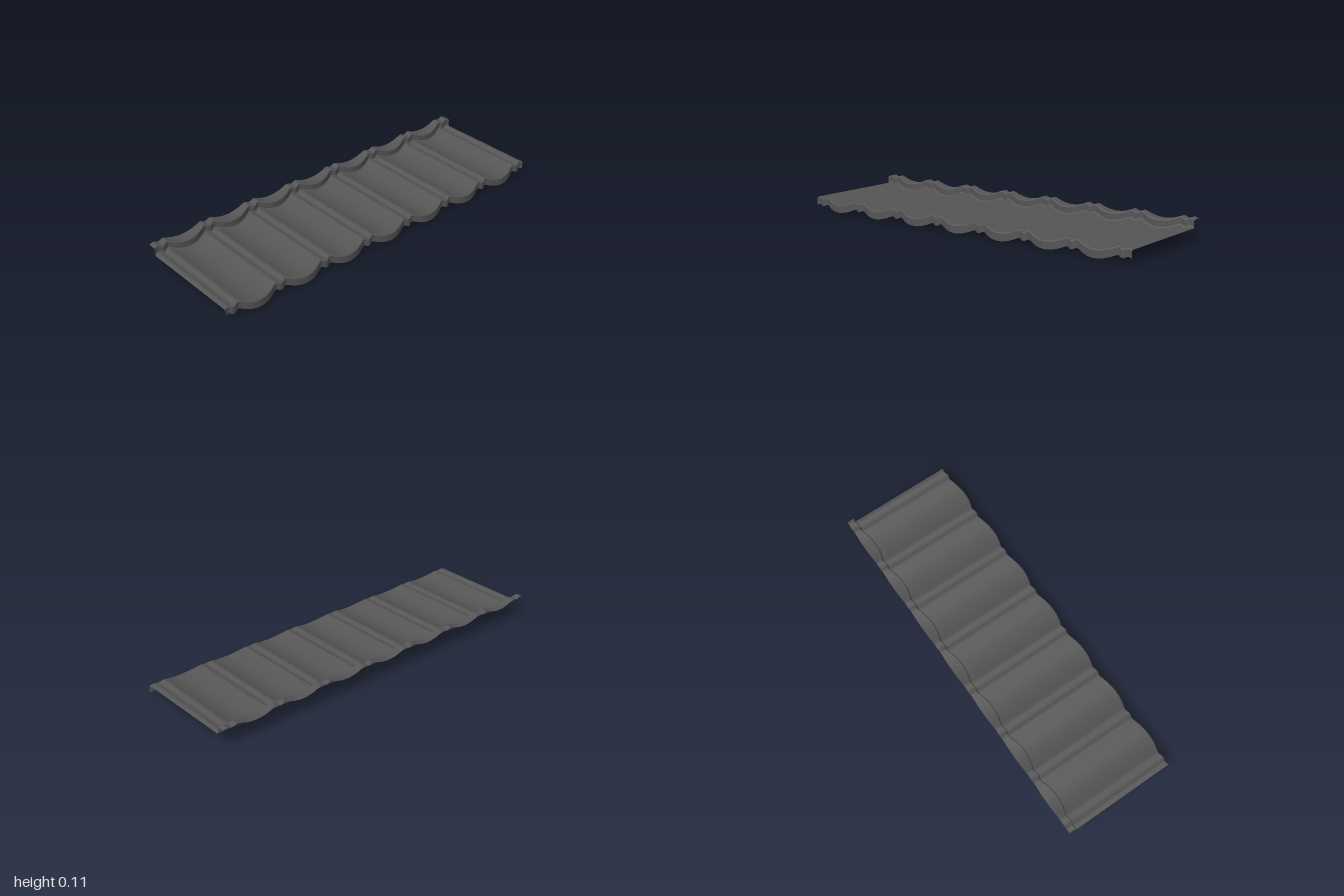
import * as THREE from 'three';
import { toCreasedNormals } from 'three/addons/utils/BufferGeometryUtils.js';

const PITCH = 0.272;   // distance between ridges
const TROUGH = 0.042;  // lowest height of the main field
const STEP = 0.041;    // rise of the rear step
const BEND = 0.005;    // small chamfer at each fold

// Half of one wave, from ridge centre to trough centre: [offset, height]
const halfWave = [[0, 0.059], [0.006, 0.0592], [0.012, 0.0615], [0.018, 0.0648], [0.023, 0.0667], [0.028, 0.067], [0.034, 0.0662]];
for (const u of [0.042, 0.048, 0.056, 0.066, 0.076, 0.086, 0.096, 0.106, 0.116, 0.126, 0.136]) {
  halfWave.push([u, TROUGH + 0.021 * ((PITCH / 2 - u) / 0.094) ** 2]);
}

// Whole wave line across the sheet: double-bump ridges with a groove, broad troughs
function waveLine() {
  const line = [];
  for (let k = -4; k <= 3; k++) {
    const centre = (k + 0.5) * PITCH;
    const left = halfWave.slice(1).reverse().map(([u, h]) => [centre - u, h]);
    const right = halfWave.slice(0, -1).map(([u, h]) => [centre + u, h]);
    line.push(...left, ...right);
  }
  return line.filter(([x]) => Math.abs(x) < 1.0001);
}

// Front-to-back section at one wave height: [z, y]; the folds follow the wave
function section(h) {
  const zFront = 0.313 - (h - TROUGH);
  const zBack = -0.25 - (h - TROUGH);
  return [
    [zFront, h - TROUGH],
    [zFront, h - BEND],
    [zFront - BEND, h],
    [zBack + BEND, h],
    [zBack, h + BEND],
    [zBack, h + STEP - BEND],
    [zBack - BEND, h + STEP],
    [-0.313, h + STEP],
  ];
}

// Surface between the given first and last section points
function strip(name, first, last, material) {
  const line = waveLine();
  const rows = last - first + 1;
  const positions = [];
  const index = [];
  line.forEach(([x, h], i) => {
    for (const [z, y] of section(h).slice(first, last + 1)) positions.push(x, y, z);
    if (i === 0) return;
    for (let r = 0; r < rows - 1; r++) {
      const a = (i - 1) * rows + r;
      const b = i * rows + r;
      index.push(a, b, b + 1, a, b + 1, a + 1);
    }
  });
  const geometry = new THREE.BufferGeometry();
  geometry.setAttribute('position', new THREE.Float32BufferAttribute(positions, 3));
  geometry.setIndex(index);
  const mesh = new THREE.Mesh(toCreasedNormals(geometry, 0.6), material);
  mesh.name = name;
  return mesh;
}

export function createModel() {
  const group = new THREE.Group();
  group.name = 'roofTileSheet';
  const material = new THREE.MeshStandardMaterial({ color: 0x555555, side: THREE.DoubleSide });
  group.add(
    strip('frontDrop', 0, 2, material),
    strip('wavedField', 2, 3, material),
    strip('rearStep', 3, 6, material),
    strip('rearLap', 6, 7, material),
  );
  return group;
}
